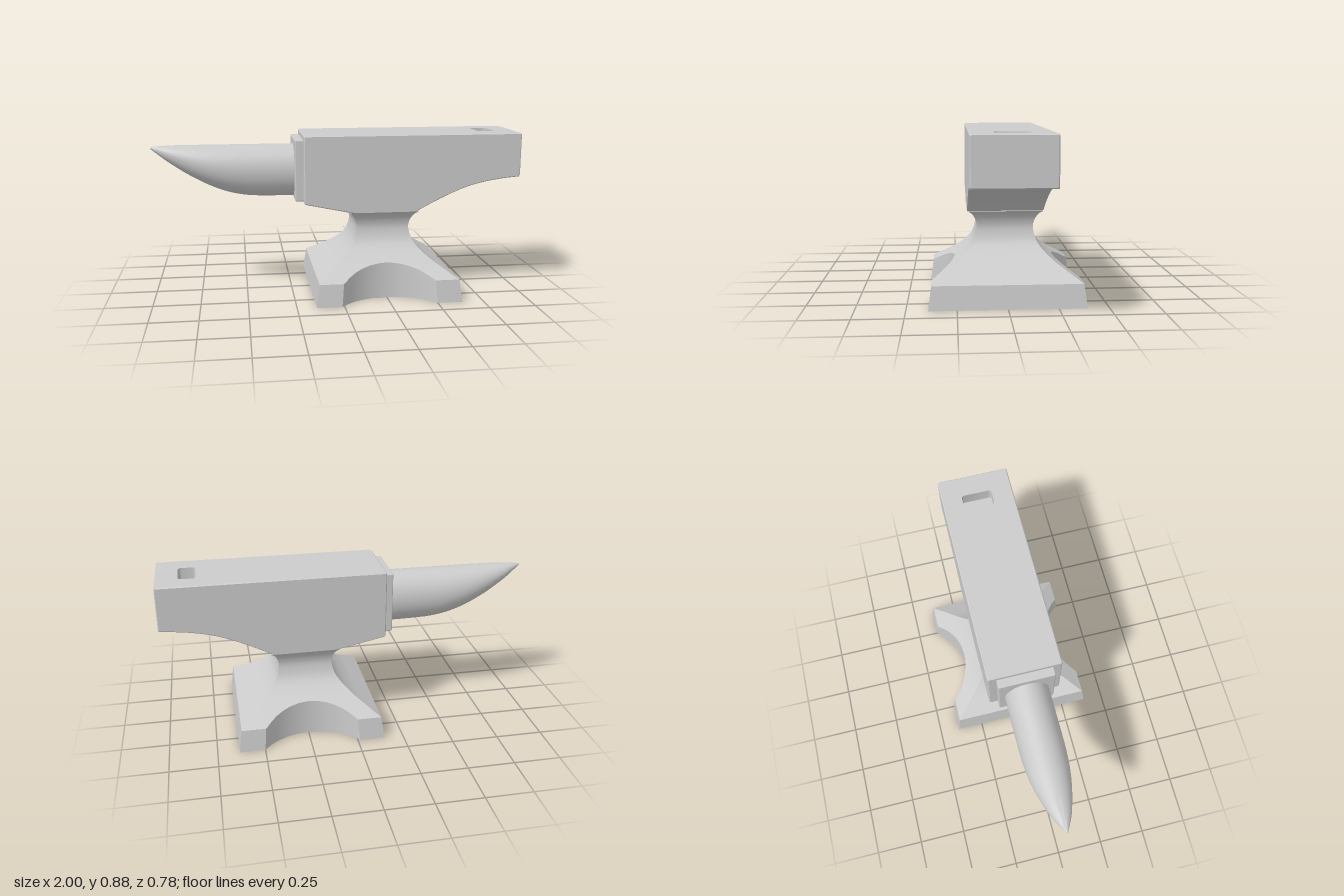
import * as THREE from 'three';
import { toCreasedNormals } from 'three/addons/utils/BufferGeometryUtils.js';
import { RoundedBoxGeometry } from 'three/addons/geometries/RoundedBoxGeometry.js';

const material = new THREE.MeshStandardMaterial({ color: 0xcccccc });

// Skin a list of closed rings (arrays of [x, y, z]) and cap the ends with fans
function loft(rings, { crease = 0.6, capStart = true, capEnd = true, skip = () => false } = {}) {
  const n = rings[0].length, pos = [];
  const tri = (...pts) => pts.forEach(p => pos.push(...p));
  for (let i = 0; i < rings.length - 1; i++) {
    for (let j = 0; j < n; j++) {
      if (skip(i, j)) continue;
      const k = (j + 1) % n, [r, s] = [rings[i], rings[i + 1]];
      tri(r[j], r[k], s[k]);
      tri(r[j], s[k], s[j]);
    }
  }
  const cap = (ring, flip) => {
    const c = [0, 1, 2].map(a => ring.reduce((sum, p) => sum + p[a], 0) / n);
    ring.forEach((p, j) => {
      const q = ring[(j + 1) % n];
      flip ? tri(c, q, p) : tri(c, p, q);
    });
  };
  if (capStart) cap(rings[0], true);
  if (capEnd) cap(rings[rings.length - 1], false);
  const g = new THREE.BufferGeometry();
  g.setAttribute('position', new THREE.Float32BufferAttribute(pos, 3));
  return toCreasedNormals(g, crease);
}

// Smooth curve through [u, v] points, returned as v(u)
function curveThrough(points) {
  const c = new THREE.SplineCurve(points.map(p => new THREE.Vector2(...p)));
  const table = c.getPoints(points.length * 16);
  return u => {
    if (u <= table[0].x) return table[0].y;
    for (let i = 1; i < table.length; i++) {
      const a = table[i - 1], b = table[i];
      if (u <= b.x) return a.y + (b.y - a.y) * (u - a.x) / (b.x - a.x);
    }
    return table[table.length - 1].y;
  };
}

function add(group, name, geometry) {
  const m = new THREE.Mesh(geometry, material);
  m.name = name;
  group.add(m);
  return m;
}

// Foot and waist: square section with a round scoop through front and back
function footGeometry() {
  const cx = 0.244, top = 0.456, shoulder = 0.12, cols = 64, rows = 28;
  const flare = curveThrough([[0.12, 0.375], [0.16, 0.313], [0.2, 0.253], [0.25, 0.196], [0.3, 0.16],
    [0.36, 0.144], [0.4, 0.149], [0.43, 0.163], [0.447, 0.177], [0.456, 0.19]]);
  const half = y => y < shoulder ? 0.391 - 0.016 * y / shoulder : flare(y);
  const R = 0.315, scoopZ = 0.575;
  const scoop = dx => Math.abs(dx) < R ? scoopZ - Math.sqrt(R * R - dx * dx) : scoopZ;
  // Height where the scoop breaks out through the flare, for one column
  const breakout = t => {
    const cut = y => half(y) > scoop(t * half(y));
    if (!cut(shoulder)) return shoulder;
    let lo = shoulder, hi = 0.36;
    for (let i = 0; i < 30; i++) {
      const mid = (lo + hi) / 2;
      if (cut(mid)) lo = mid; else hi = mid;
    }
    return lo;
  };
  const columns = [];
  for (let i = 0; i <= cols; i++) {
    const t = -1 + 2 * i / cols;
    columns.push({ t, split: breakout(t) });
  }
  const rings = [];
  for (let r = 0; r <= rows + 2; r++) {
    const front = columns.map(({ t, split }) => {
      const y = r < 2 ? split * r / 2 : split + (top - split) * (r - 2) / rows;
      const h = half(y);
      return [cx + t * h, y, Math.min(h, scoop(t * h))];
    });
    const back = front.map(([x, y, z]) => [x, y, -z]).reverse();
    rings.push([...front, ...back]);
  }
  return loft(rings, { crease: 0.5 });
}

// Body: block with a curved underside, open on top for the face plate
const X0 = -0.19, X1 = 0.998, TOP = 0.877, W = 0.195, C = 0.005;
function bodyGeometry() {
  const heel = curveThrough([[0.41, 0.453], [0.45, 0.473], [0.5, 0.5], [0.6, 0.548], [0.7, 0.588],
    [0.8, 0.614], [0.9, 0.63], [1, 0.639]]);
  const bottom = x => x < 0.09 ? 0.511 - 0.058 * (x - X0) / (0.09 - X0) : x < 0.41 ? 0.453 : heel(x);
  const ring = (x, inset) => {
    const w = W - inset, t = TOP - inset, b = bottom(x) + inset;
    const side = [[w - C, t], [w, t - C], [w, b + C], [w - C, b]];
    const other = side.map(([z, y]) => [-z, y]).reverse();
    return [...side, ...other].map(([z, y]) => [x, y, z]);
  };
  const xs = [X0 + C, 0.09, 0.41];
  for (let i = 1; i <= 24; i++) xs.push(0.41 + (X1 - C - 0.41) * i / 24);
  const rings = [ring(X0, C), ...xs.map(x => ring(x, 0)), ring(X1, C)];
  const last = rings.length - 2;
  return loft(rings, { crease: 0.5, skip: (i, j) => j === 7 && i > 0 && i < last });
}

// Outline of the square hole, counter-clockwise seen from above, as [x, -z]
function holeOutline() {
  const r = 0.015, hx = 0.045, hy = 0.083, pts = [];
  [[1, 1], [-1, 1], [-1, -1], [1, -1]].forEach(([sx, sy], k) => {
    for (let i = 0; i <= 4; i++) {
      const a = (k + i / 4) * Math.PI / 2;
      pts.push([0.835 + sx * (hx - r) + r * Math.cos(a), 0.003 + sy * (hy - r) + r * Math.sin(a)]);
    }
  });
  return pts;
}

// Horn: elliptical section tapering to a raised tip
function hornGeometry() {
  const under = curveThrough([[-1, 0.8], [-0.95, 0.76], [-0.9, 0.722], [-0.8, 0.656], [-0.7, 0.602], [-0.6, 0.562],
    [-0.5, 0.54], [-0.4, 0.533], [-0.2, 0.53]]);
  const width = curveThrough([[-1, 0.004], [-0.95, 0.03], [-0.9, 0.053], [-0.8, 0.084], [-0.7, 0.105],
    [-0.6, 0.115], [-0.5, 0.118], [-0.2, 0.118]]);
  const rings = [], n = 48, steps = 40;
  for (let i = 0; i <= steps; i++) {
    const x = -0.999 + 0.779 * Math.pow(i / steps, 1.4);
    const top = 0.817 - 0.008 * Math.pow(Math.max(0, (-x - 0.85) / 0.15), 2), b = under(x), w = width(x);
    rings.push(Array.from({ length: n }, (_, j) => {
      const a = 2 * Math.PI * j / n;
      return [x, (top + b) / 2 + Math.cos(a) * (top - b) / 2, Math.sin(a) * w];
    }));
  }
  return loft(rings, { crease: 0.9 });
}

export function createModel() {
  const anvil = new THREE.Group();
  anvil.name = 'anvil';

  add(anvil, 'foot', footGeometry());
  add(anvil, 'body', bodyGeometry());
  add(anvil, 'horn', hornGeometry());

  // Flat working face with the hole cut out
  const outline = holeOutline(), w = W - C;
  const toVectors = pts => pts.map(p => new THREE.Vector2(...p));
  const face = new THREE.Shape(toVectors([[X0 + C, -w], [X1 - C, -w], [X1 - C, w], [X0 + C, w]]));
  face.holes.push(new THREE.Path(toVectors(outline)));
  add(anvil, 'face', new THREE.ShapeGeometry(face).rotateX(-Math.PI / 2).translate(0, TOP, 0));

  // Pocket walls and floor below the hole
  const pocket = [TOP, TOP - 0.07].map(y => outline.map(([x, v]) => [x, y, -v]));
  add(anvil, 'toolHole', loft(pocket, { capStart: false }));

  // Step between body and horn
  add(anvil, 'collar', new RoundedBoxGeometry(0.065, 0.33, 0.3, 2, 0.006)).position.set(-0.2025, 0.686, 0);

  return anvil;
}
